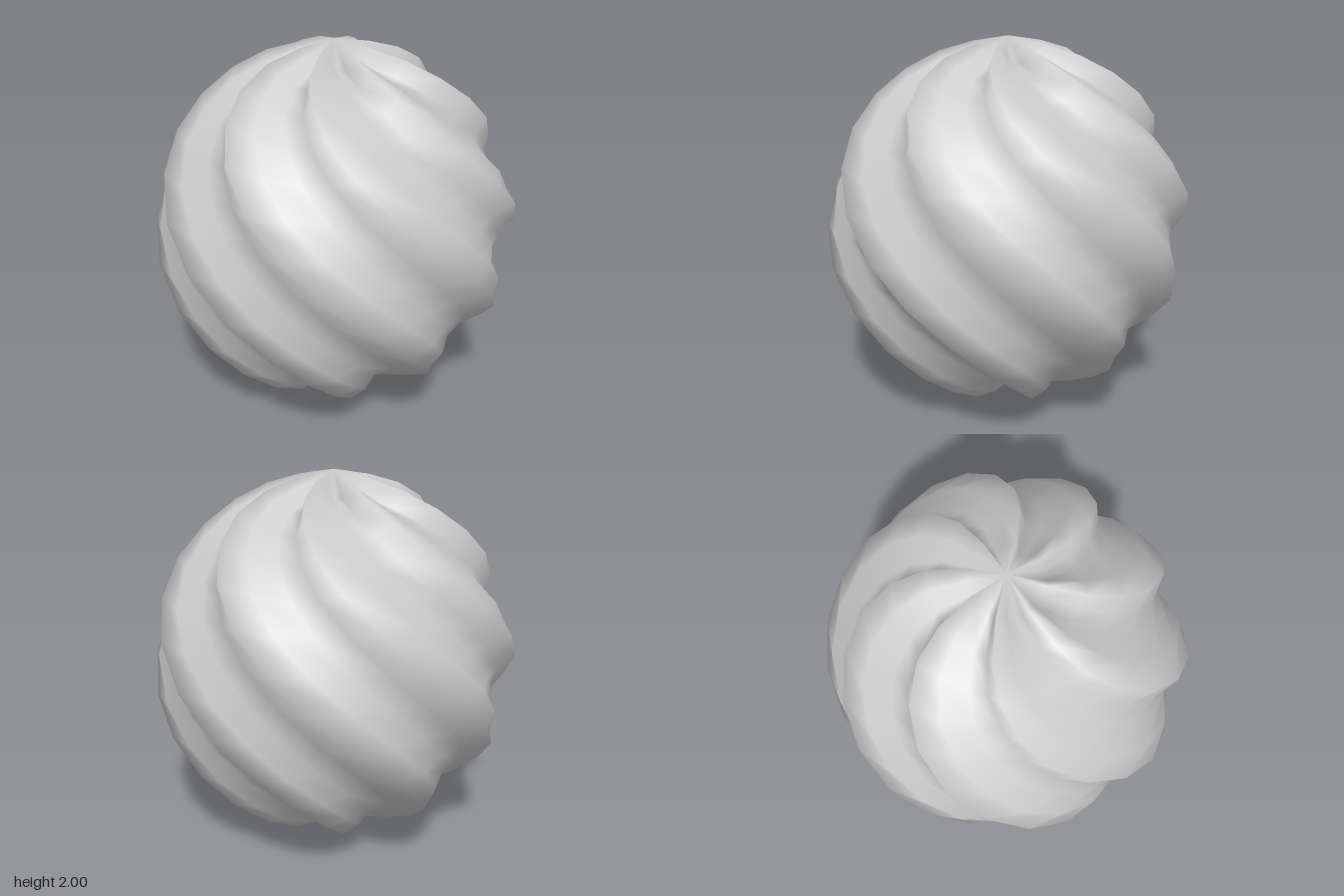
import * as THREE from 'three';
import { mergeVertices } from 'three/addons/utils/BufferGeometryUtils.js';

const SEGMENTS = 32;
const RIB = [0.985, 0.947, 0.888, 0.893];      // radii across one rib: crest, shoulder, then a groove
const PHASE = THREE.MathUtils.degToRad(11.25); // crest angle at mid height
const TWIST = THREE.MathUtils.degToRad(67.5);  // turn per unit of height

export function createModel() {
  const group = new THREE.Group();
  group.name = 'twistedRibbedBall';

  const sphere = new THREE.SphereGeometry(1, SEGMENTS, 16);
  sphere.deleteAttribute('uv');
  sphere.deleteAttribute('normal');
  const geometry = mergeVertices(sphere, 1e-4);

  // Shape the meridians into ribs, then twist each height slice about the y axis
  const pos = geometry.attributes.position;
  const v = new THREE.Vector3();
  for (let i = 0; i < pos.count; i++) {
    v.fromBufferAttribute(pos, i);
    if (Math.hypot(v.x, v.z) > 1e-3) {         // the poles stay in place
      const lon = Math.atan2(v.x, v.z);
      const meridian = Math.round((lon / (2 * Math.PI) + 1) * SEGMENTS);
      v.multiplyScalar(RIB[meridian % RIB.length]);
      const flat = Math.hypot(v.x, v.z);
      const turned = lon + PHASE - TWIST * v.y;
      v.x = flat * Math.sin(turned);
      v.z = flat * Math.cos(turned);
    }
    pos.setXYZ(i, v.x, v.y + 1, v.z);
  }
  geometry.computeVertexNormals();

  const ball = new THREE.Mesh(geometry, new THREE.MeshStandardMaterial({ color: 0xcccccc }));
  ball.name = 'twistedRibs';
  group.add(ball);
  return group;
}
